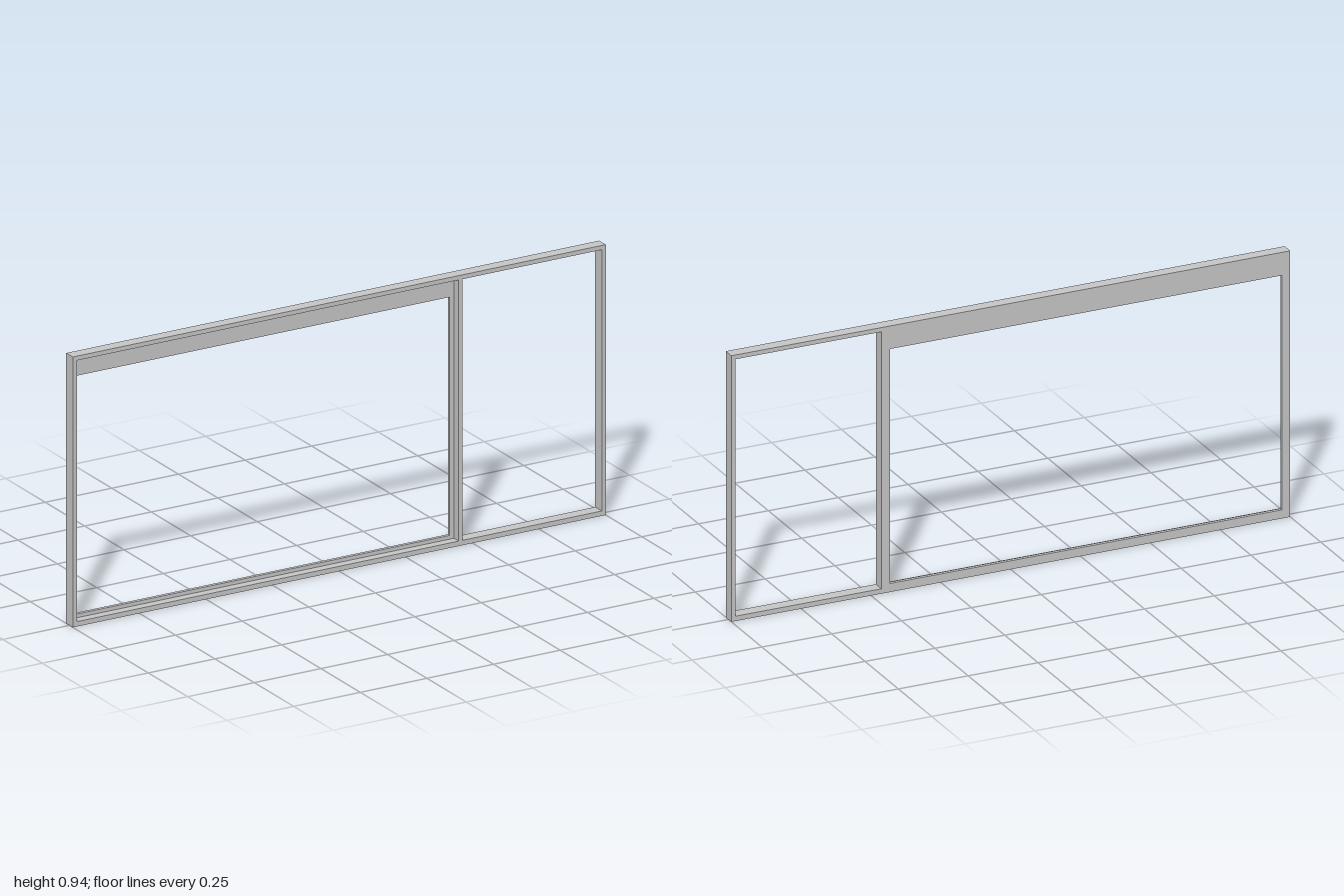
import * as THREE from 'three';

const H = 0.935, BACK = -0.021, DEPTH = 0.042, SASH_DEPTH = 0.012;

// Rectangle from edges, as a Shape or a hole Path
function rect(Type, x0, x1, y0, y1) {
  return new Type([[x0, y0], [x1, y0], [x1, y1], [x0, y1]].map(([x, y]) => new THREE.Vector2(x, y)));
}

// Flat panel with rectangular openings, its back flush with the frame's back
function panel(name, outer, openings, depth, material) {
  const shape = rect(THREE.Shape, ...outer);
  for (const o of openings) shape.holes.push(rect(THREE.Path, ...o));
  const geometry = new THREE.ExtrudeGeometry(shape, { depth, bevelEnabled: false });
  geometry.translate(0, 0, BACK);
  const mesh = new THREE.Mesh(geometry, material);
  mesh.name = name;
  return mesh;
}

export function createModel() {
  const model = new THREE.Group();
  model.name = 'windowFrame';
  const lightGrey = new THREE.MeshStandardMaterial({ color: 0xc6c6c6 });
  lightGrey.name = 'lightGrey';

  // Full-depth outer frame with a mullion between the wide and narrow bays
  const wideBay = [-0.985, 0.448, 0.017, 0.92];
  const narrowBay = [0.463, 0.985, 0.017, 0.92];
  model.add(panel('outerFrame', [-1, 1, 0, H], [wideBay, narrowBay], DEPTH, lightGrey));

  // Thin sash set at the back of the wide bay, with a deep top rail
  model.add(panel('sash', wideBay, [[-0.97, 0.432, 0.03, 0.854]], SASH_DEPTH, lightGrey));
  return model;
}
